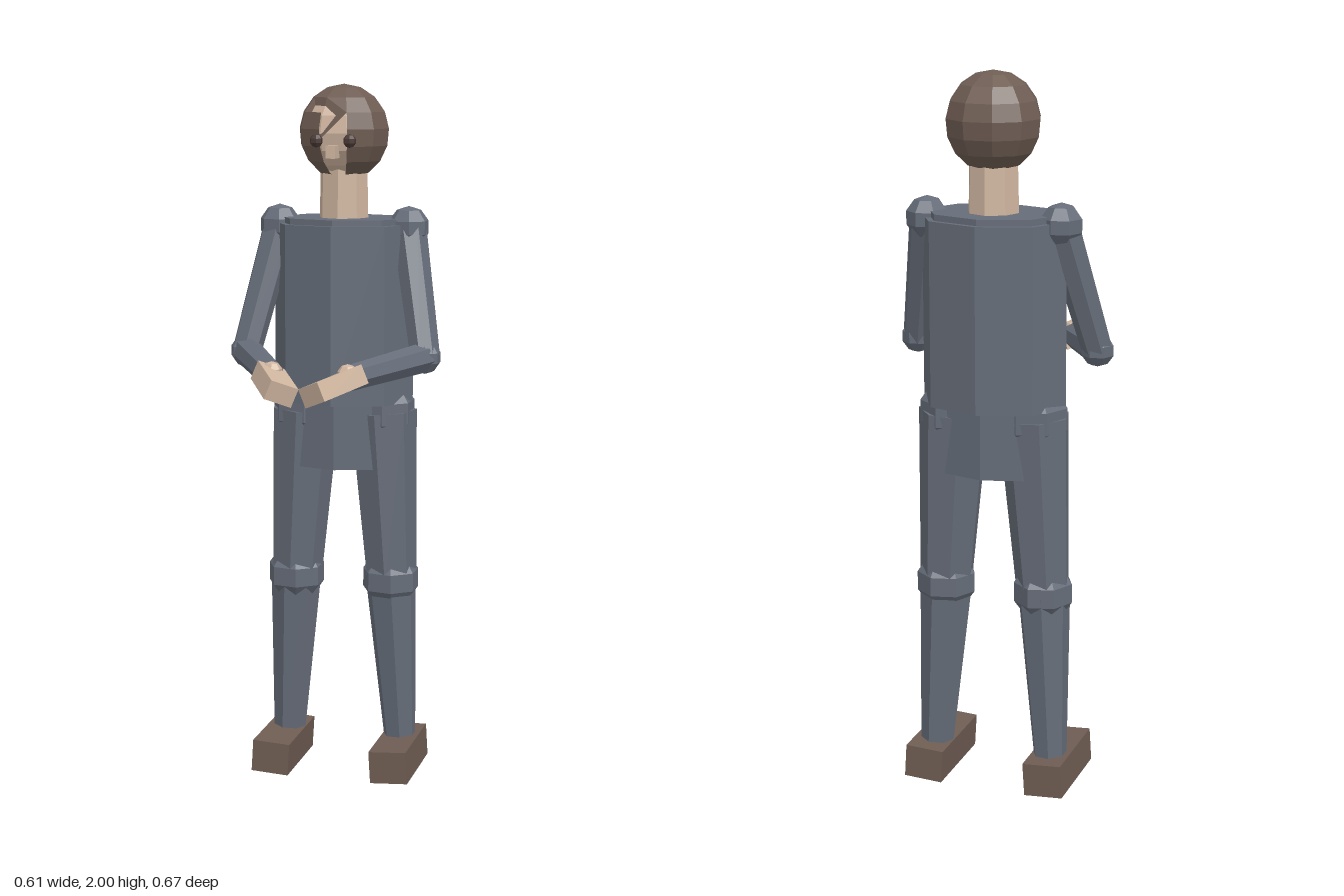
import * as THREE from 'three';

const mat = (color) => new THREE.MeshStandardMaterial({ color, flatShading: true, side: THREE.DoubleSide });
const V = (x, y, z) => new THREE.Vector3(x, y, z);
const UP = V(0, 1, 0);
const Z = -0.19; // depth of the body's axis

export function createModel() {
  const group = new THREE.Group();
  const cloth = mat(0x666d79), skin = mat(0xd0b6a0), brown = mat(0x6f5d53), dark = mat(0x4a3a35);

  const add = (name, geometry, material, pos, parent = group) => {
    const mesh = new THREE.Mesh(geometry, material);
    mesh.name = name;
    mesh.position.copy(pos);
    parent.add(mesh);
    return mesh;
  };
  // tapered limb segment between two points
  const limb = (name, a, b, ra, rb, parent) => {
    const d = b.clone().sub(a);
    const mesh = add(name, new THREE.CylinderGeometry(rb, ra, d.length(), 7), cloth, a.clone().lerp(b, 0.5), parent);
    mesh.quaternion.setFromUnitVectors(UP, d.normalize());
  };
  const joint = (name, p, r, parent, material = cloth) =>
    add(name, new THREE.SphereGeometry(r, 7, 5), material, p, parent);
  // eight-sided body block, flattened in depth
  const block = (name, rx, rz, y0, y1) => {
    const g = new THREE.CylinderGeometry(1, 1, y1 - y0, 8).scale(rx, 1, rz);
    add(name, g, cloth, V(0, (y0 + y1) / 2, Z));
  };

  // body
  block('torso', 0.205, 0.15, 1.1, 1.608);
  block('collar', 0.188, 0.135, 1.608, 1.625);
  block('pelvis', 0.17, 0.115, 0.91, 1.1);
  add('neck', new THREE.CylinderGeometry(0.068, 0.072, 0.18, 8), skin, V(0, 1.69, Z));

  // head and hair, the hair open over the face
  const head = V(0, 1.865, Z), seg = Math.PI / 5, brow = Math.PI * 0.36;
  const ball = (r, ...rest) => new THREE.SphereGeometry(r, ...rest).scale(1, 1.03, 1);
  add('head', ball(0.124, 10, 8, 2 * seg), skin, head);
  const cap = ball(0.131, 10, 3, 2 * seg, Math.PI * 2, 0, brow);
  const p = cap.attributes.position, v = V(0, 0, 0);
  for (let i = 0; i < p.count; i++) {
    v.fromBufferAttribute(p, i);
    // sweep the fringe down on one side of the face
    if (v.y < 0.065 && v.x < -0.02 && v.x > -0.06 && v.z > 0) p.setXYZ(i, -0.041, -0.02, 0.123);
  }
  add('hairCap', cap, brown, head);
  add('hairSides', ball(0.131, 9, 5, 3 * seg, 9 * seg, brow, Math.PI * 0.93 - brow), brown, head);
  add('nose', new THREE.BoxGeometry(0.026, 0.036, 0.05), skin, V(0, 1.815, -0.063));

  for (const s of [-1, 1]) {
    const side = s > 0 ? 'left' : 'right';
    add(side + 'Eye', new THREE.SphereGeometry(0.019, 7, 5), dark, V(s * 0.048, 1.845, -0.066));

    // arm, bent forward with the hand turned inward
    const arm = new THREE.Group();
    arm.name = side + 'Arm';
    group.add(arm);
    const shoulder = V(s * 0.19, 1.6, Z), elbow = V(s * 0.262, 1.245, -0.087), wrist = V(s * 0.107, 1.218, 0.18);
    joint('shoulder', shoulder, 0.06, arm);
    limb('upperArm', shoulder, elbow, 0.05, 0.043, arm);
    joint('elbow', elbow, 0.047, arm);
    limb('forearm', elbow, wrist, 0.043, 0.036, arm);
    joint('wrist', wrist.clone().setY(1.228), 0.03, arm, skin);
    const hand = add('hand', new THREE.BoxGeometry(0.08, 0.055, 0.175), skin, V(s * 0.083, 1.205, 0.238), arm);
    hand.rotation.set(0.17, -s * 0.5, s * 0.36, 'YXZ');

    // leg, with feet apart
    const leg = new THREE.Group();
    leg.name = side + 'Leg';
    group.add(leg);
    const hip = V(s * 0.115, 1.07, Z), knee = V(s * 0.143, 0.573, Z), ankle = V(s * 0.17, 0.08, -0.207);
    joint('hip', hip, 0.1, leg);
    limb('thigh', hip, knee, 0.1, 0.075, leg);
    joint('knee', knee, 0.087, leg);
    limb('shin', knee, ankle, 0.075, 0.047, leg);
    const foot = add('foot', new THREE.BoxGeometry(0.11, 0.094, 0.28), brown, V(s * 0.177, 0.05, -0.16), leg);
    foot.rotation.z = s * 0.06;
  }
  return group;
}
